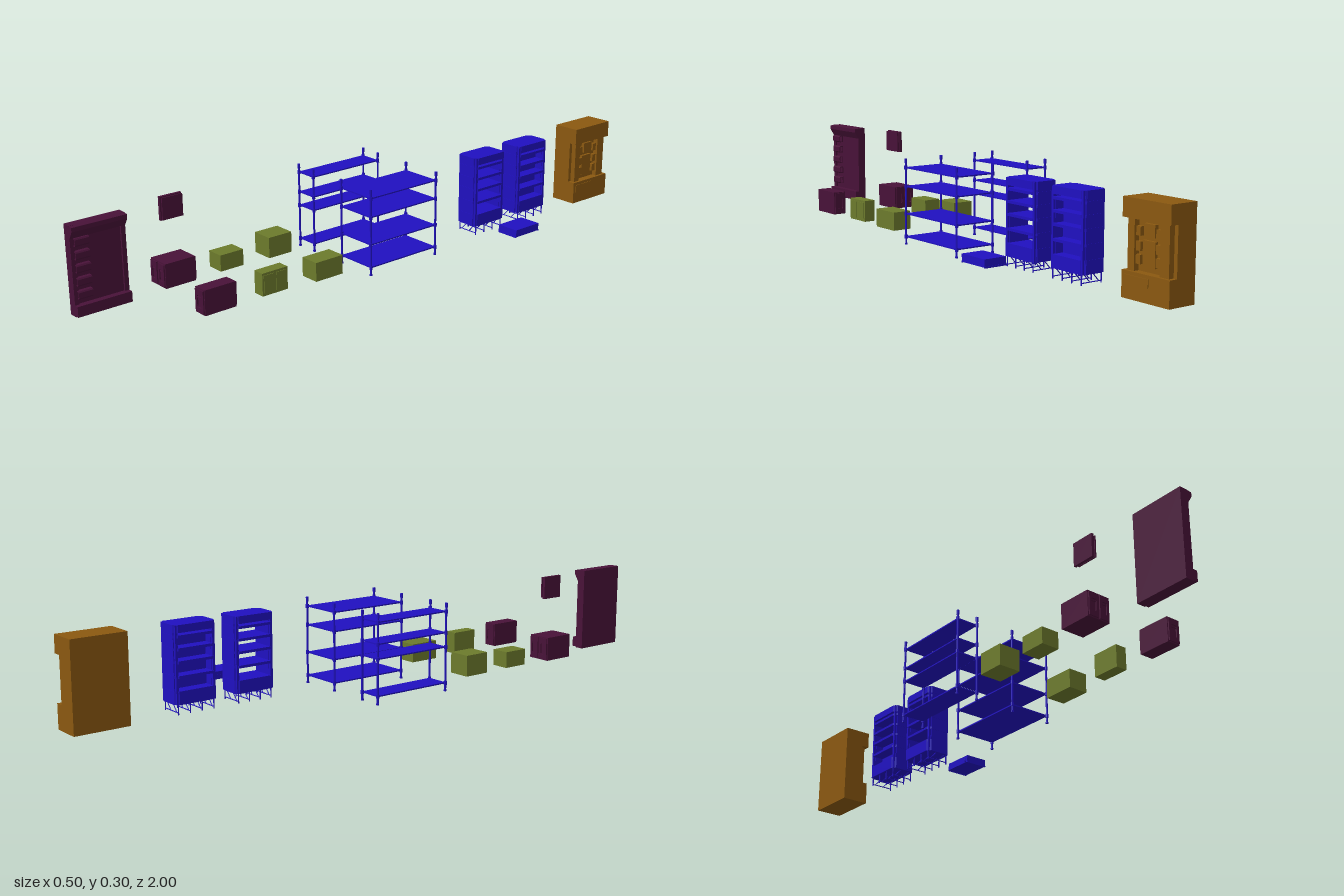
import * as THREE from 'three';

const mat = (color) => new THREE.MeshStandardMaterial({ color, flatShading: true, side: THREE.DoubleSide });
const BLUE = mat(0x2010c0), PURPLE = mat(0x481238), BROWN = mat(0x8a5810), OLIVE = mat(0x6c7a2c);

function add(parent, name, geo, material) {
  const m = new THREE.Mesh(geo, material);
  m.name = name;
  parent.add(m);
  return m;
}
function group(parent, name) {
  const g = new THREE.Group();
  g.name = name;
  parent.add(g);
  return g;
}
// box given by its limits on each axis
function box(parent, name, material, [x0, x1], [y0, y1], [z0, z1]) {
  const m = add(parent, name, new THREE.BoxGeometry(x1 - x0, y1 - y0, z1 - z0), material);
  m.position.set((x0 + x1) / 2, (y0 + y1) / 2, (z0 + z1) / 2);
  return m;
}
// thin round bar between two points
function bar(parent, name, material, a, b, r, sides = 6) {
  const p = new THREE.Vector3(...a), q = new THREE.Vector3(...b);
  const m = add(parent, name, new THREE.CylinderGeometry(r, r, p.distanceTo(q), sides), material);
  m.position.copy(p).add(q).multiplyScalar(0.5);
  m.quaternion.setFromUnitVectors(new THREE.Vector3(0, 1, 0), q.sub(p).normalize());
  return m;
}
// x-y outline extruded along z
function profile(parent, name, material, pts, z0, z1, hole) {
  const s = new THREE.Shape(pts.map((p) => new THREE.Vector2(...p)));
  if (hole) s.holes.push(new THREE.Path(hole.map((p) => new THREE.Vector2(...p))));
  const g = new THREE.ExtrudeGeometry(s, { depth: z1 - z0, bevelEnabled: false });
  return add(parent, name, g.translate(0, 0, z0), material);
}
// flat plate with cut corners, lying between two heights
function plate(parent, name, material, [x0, x1], [y0, y1], [z0, z1], c) {
  const pts = [[x0 + c, z0], [x1 - c, z0], [x1, z0 + c], [x1, z1 - c], [x1 - c, z1], [x0 + c, z1], [x0, z1 - c], [x0, z0 + c]];
  const s = new THREE.Shape(pts.map(([x, z]) => new THREE.Vector2(x, -z)));
  const g = new THREE.ExtrudeGeometry(s, { depth: y1 - y0, bevelEnabled: false });
  return add(parent, name, g.rotateX(-Math.PI / 2).translate(0, y0, 0), material);
}

// open rack: four collared posts and thin shelves
function rack(root, name, [x0, x1], [z0, z1], levels) {
  const g = group(root, name);
  for (const x of [x0, x1]) for (const z of [z0, z1]) {
    bar(g, 'post', BLUE, [x, 0.003, z], [x, 0.278, z], 0.0032, 8);
    bar(g, 'postCap', BLUE, [x, 0.265, z], [x, 0.279, z], 0.0045, 8);
    bar(g, 'foot', BLUE, [x, 0.002, z], [x, 0.007, z], 0.0045, 8);
    for (const y of levels) bar(g, 'collar', BLUE, [x, y - 0.006, z], [x, y + 0.006, z], 0.005, 8);
  }
  for (const y of levels) box(g, 'shelf', BLUE, [x0, x1], [y - 0.002, y + 0.002], [z0, z1]);
}

// tall shelving cabinet with cut corners, standing on wire legs
function cabinet(root, name, z0, z1, closed) {
  const g = group(root, name), X = [-0.003, 0.08], Z = [z0, z1], c = 0.012;
  plate(g, 'base', BLUE, X, [0.04, 0.08], Z, c);
  plate(g, 'top', BLUE, X, [0.25, 0.273], Z, c);
  for (const y of [0.121, 0.164, 0.202, 0.239]) plate(g, 'shelf', BLUE, X, [y - 0.004, y + 0.004], Z, c);
  for (const [a, b] of [[z0 + 0.001, z0 + 0.013], [z1 - 0.013, z1 - 0.001]]) {
    box(g, 'endPanel', BLUE, [0.008, 0.07], [0.04, 0.272], [a, b]);
  }
  if (closed) box(g, 'backPanel', BLUE, [0.036, 0.042], [0.04, 0.272], [z0 + 0.01, z1 - 0.01]);
  // corner rails
  for (const x of [0.004, 0.074]) for (const z of [z0 + 0.008, z1 - 0.008]) {
    box(g, 'cornerRail', BLUE, [x - 0.004, x + 0.004], [0.04, 0.272], [z - 0.004, z + 0.004]);
  }
  // legs with cross wires
  for (let i = 0; i < 4; i++) {
    const z = z0 + 0.01 + (i * (z1 - z0 - 0.02)) / 3;
    for (const x of [0.003, 0.076]) bar(g, 'leg', BLUE, [x, 0.01, z], [x, 0.042, z], 0.002);
    bar(g, 'legRail', BLUE, [0.003, 0.016, z], [0.076, 0.016, z], 0.0015);
    for (const x of [0.012, 0.045]) bar(g, 'legBrace', BLUE, [x, 0.016, z], [x + 0.022, 0.04, z], 0.0015);
  }
}

// low chest with framed windows on the front and a door on the side
function chest(root, name, [x0, x1], [z0, z1], windows) {
  const g = group(root, name), e = 0.004;
  box(g, 'body', PURPLE, [x0, x1], [0.03, 0.107], [z0 + e, z1 - e]);
  const w = (x1 - x0) / windows;
  for (let i = 0; i < windows; i++) {
    const a = x0 + i * w + 0.003, b = a + w - 0.006, m = Math.min(0.009, w / 5);
    for (const [za, zb] of [[z1 - e, z1], [z0, z0 + e]]) {
      profile(g, 'windowFrame', PURPLE,
        [[a, 0.033], [b, 0.033], [b, 0.104], [a, 0.104]], za, zb,
        [[a + m, 0.052], [a + m + 0.003, 0.049], [b - m - 0.003, 0.049], [b - m, 0.052],
          [b - m, 0.083], [b - m - 0.003, 0.086], [a + m + 0.003, 0.086], [a + m, 0.083]]);
    }
    box(g, 'windowBar', PURPLE, [a + m, b - m], [0.078, 0.081], [z1 - e, z1 - 0.001]);
  }
}

export function createModel() {
  const root = new THREE.Group();

  // brown service cabinet facing +x
  const bc = group(root, 'brownCabinet'), bz = [-1, -0.826];
  box(bc, 'cabinetBack', BROWN, [-0.011, 0.055], [0.01, 0.279], bz);
  box(bc, 'cabinetHeader', BROWN, [0.055, 0.081], [0.225, 0.279], bz);
  box(bc, 'cabinetBase', BROWN, [0.055, 0.081], [0.01, 0.085], bz);
  for (const [a, b] of [[-0.988, -0.955], [-0.862, -0.838]]) {
    box(bc, 'cabinetSidePost', BROWN, [0.055, 0.072], [0.085, 0.225], [a, b]);
  }
  box(bc, 'centrePanel', BROWN, [0.055, 0.064], [0.1, 0.17], [-0.93, -0.885]);
  for (const y of [0.105, 0.14, 0.18]) {
    for (const z of [-0.952, -0.88]) box(bc, 'smallPanel', BROWN, [0.055, 0.068], [y, y + 0.025], [z, z + 0.016]);
  }
  box(bc, 'upperPanel', BROWN, [0.055, 0.066], [0.18, 0.215], [-0.93, -0.89]);
  box(bc, 'slotFrame', BROWN, [0.08, 0.083], [0.05, 0.075], [-0.925, -0.835]);

  cabinet(root, 'closedCabinet', -0.675, -0.536, true);
  cabinet(root, 'openCabinet', -0.47, -0.334, false);

  // loose tray with a sloping hook at one end
  const tray = group(root, 'looseTray');
  box(tray, 'trayFloor', BLUE, [0.172, 0.248], [0.046, 0.06], [-0.457, -0.352]);
  box(tray, 'trayRim', BLUE, [0.173, 0.249], [0.06, 0.07], [-0.457, -0.352]);
  for (const z of [-0.457, -0.352]) box(tray, 'trayLip', BLUE, [0.172, 0.249], [0.044, 0.049], [z - 0.001, z + 0.001]);
  bar(tray, 'trayHook', BLUE, [0.167, 0.05, -0.36], [0.173, 0.064, -0.36], 0.0015);
  bar(tray, 'trayHookBase', BLUE, [0.167, 0.05, -0.36], [0.174, 0.048, -0.36], 0.0015);

  rack(root, 'wideRack', [-0.035, 0.103], [-0.132, 0.138], [0.028, 0.102, 0.19, 0.25]);
  rack(root, 'narrowRack', [-0.245, -0.172], [-0.132, 0.138], [0.028, 0.141, 0.186, 0.252]);

  // olive crates
  const crates = [
    [[-0.235, -0.162], [0.03, 0.097], [0.238, 0.325]],
    [[0.02, 0.085], [0.03, 0.09], [0.235, 0.337]],
    [[-0.229, -0.17], [0.03, 0.082], [0.418, 0.502]],
    [[0.032, 0.07], [0.03, 0.101], [0.432, 0.523]],
  ];
  crates.forEach((c, i) => box(root, 'crate' + (i + 1), OLIVE, ...c));
  for (const z of [0.437, 0.482]) box(root, 'crateSidePanel', OLIVE, [0.069, 0.072], [0.038, 0.094], [z, z + 0.036]);

  chest(root, 'doubleChest', [-0.241, -0.164], [0.592, 0.704], 2);
  chest(root, 'singleChest', [0.031, 0.076], [0.616, 0.73], 1);

  // small hanging panel, stepped in depth
  const wp = group(root, 'hangingPanel');
  box(wp, 'panelBack', PURPLE, [-0.205, -0.196], [0.23, 0.303], [0.612, 0.686]);
  box(wp, 'panelMiddle', PURPLE, [-0.196, -0.191], [0.237, 0.297], [0.618, 0.68]);
  box(wp, 'panelFace', PURPLE, [-0.191, -0.187], [0.233, 0.301], [0.614, 0.684]);

  // tall display board facing +x
  const db = group(root, 'displayBoard');
  box(db, 'boardSlab', PURPLE, [-0.185, -0.163], [0.03, 0.3], [0.826, 1]);
  for (const [a, b] of [[0.826, 0.84], [0.986, 1]]) box(db, 'boardPost', PURPLE, [-0.163, -0.157], [0.03, 0.3], [a, b]);
  profile(db, 'boardHeader', PURPLE,
    [[-0.163, 0.3], [-0.143, 0.298], [-0.143, 0.285], [-0.157, 0.262], [-0.163, 0.262]], 0.826, 1);
  box(db, 'boardFoot', PURPLE, [-0.163, -0.143], [0.033, 0.065], [0.826, 1]);
  for (let i = 0; i < 5; i++) {
    const y = 0.094 + i * 0.039, x = -0.163, o = -0.148;
    profile(db, 'bracket', PURPLE,
      [[x, y - 0.012], [o - 0.003, y - 0.012], [o, y - 0.008], [o, y + 0.008], [o - 0.003, y + 0.012], [x, y + 0.012]],
      0.945, 0.99,
      [[x + 0.003, y - 0.009], [o - 0.004, y - 0.009], [o - 0.003, y - 0.007], [o - 0.003, y + 0.007], [o - 0.004, y + 0.009], [x + 0.003, y + 0.009]]);
  }
  return root;
}
